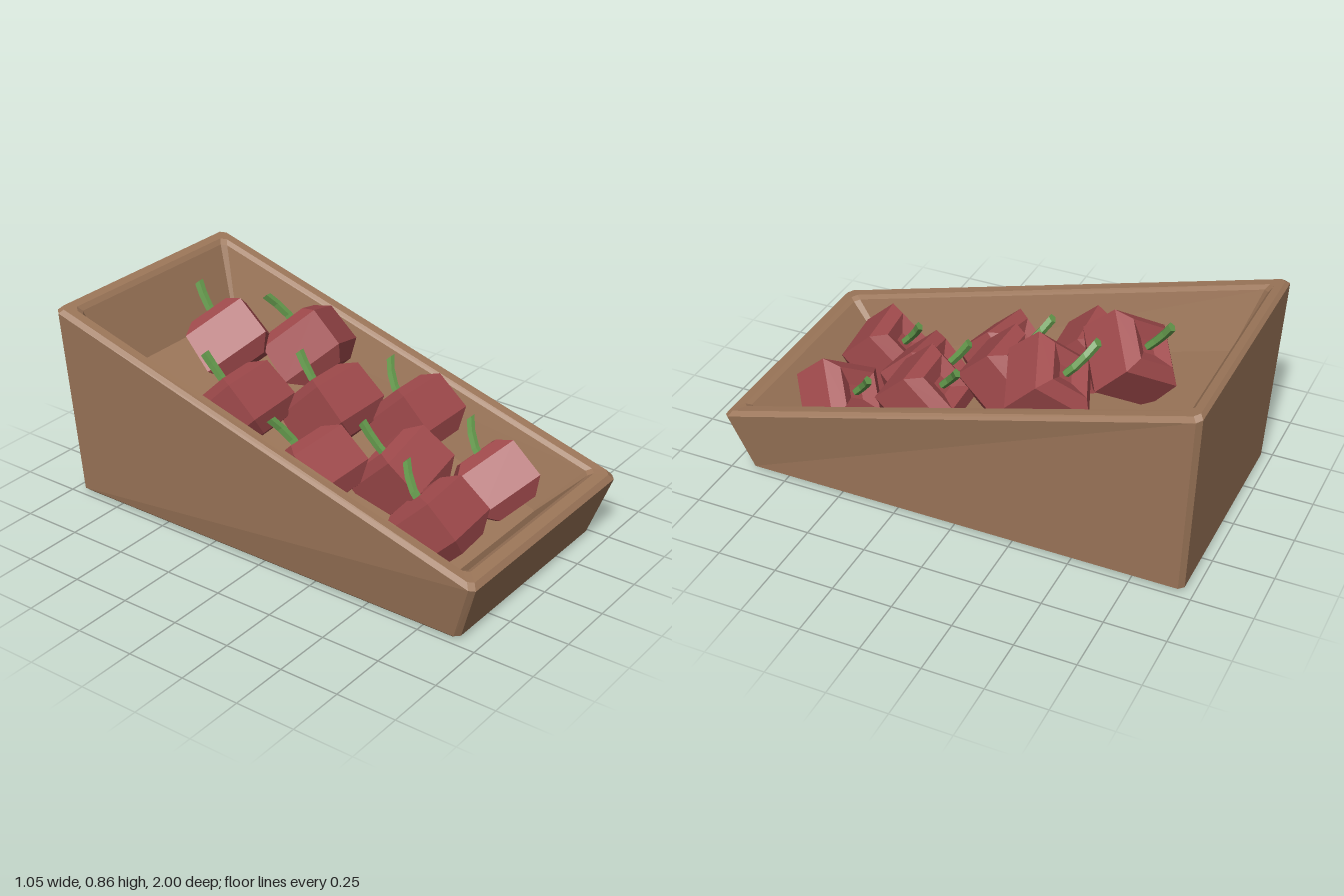
import * as THREE from 'three';

const wood = new THREE.MeshStandardMaterial({ color: 0x9c7659, flatShading: true });
const red = new THREE.MeshStandardMaterial({ color: 0xa04a4c, flatShading: true });
const green = new THREE.MeshStandardMaterial({ color: 0x64994c, flatShading: true });

// Faceted skin over a stack of rings (counter-clockwise from above), closed at both ends
function loft(rings, material, name) {
  const pos = [];
  const tri = (...pts) => pts.forEach((p) => pos.push(...p));
  const n = rings[0].length;
  const centre = (ring) => [0, 1, 2].map((k) => ring.reduce((s, p) => s + p[k], 0) / n);
  const first = rings[0], last = rings[rings.length - 1];
  const c0 = centre(first), c1 = centre(last);
  for (let j = 0; j < n; j++) {
    const k = (j + 1) % n;
    for (let i = 0; i < rings.length - 1; i++) {
      const a = rings[i], b = rings[i + 1];
      tri(a[j], a[k], b[k]);
      tri(a[j], b[k], b[j]);
    }
    tri(c0, first[k], first[j]);
    tri(c1, last[j], last[k]);
  }
  const geo = new THREE.BufferGeometry();
  geo.setAttribute('position', new THREE.Float32BufferAttribute(pos, 3));
  geo.computeVertexNormals();
  const mesh = new THREE.Mesh(geo, material);
  mesh.name = name;
  return mesh;
}

// Regular polygon ring
function polygon(n, r, y, turn = 0, dx = 0, dz = 0) {
  return Array.from({ length: n }, (_, i) => {
    const a = turn + (i / n) * Math.PI * 2;
    return [dx + r * Math.cos(a), y, dz - r * Math.sin(a)];
  });
}

// Rectangle with cut corners, sloping from yFront to yBack
function crateRing(hx, zFront, zBack, yFront, yBack, cut) {
  const corners = [
    [hx, zFront - cut], [hx, zBack + cut], [hx - cut, zBack], [-hx + cut, zBack],
    [-hx, zBack + cut], [-hx, zFront - cut], [-hx + cut, zFront], [hx - cut, zFront],
  ];
  return corners.map(([x, z]) => [x, yFront + ((yBack - yFront) * (zFront - z)) / (zFront - zBack), z]);
}

function makeCrate() {
  return loft([
    crateRing(0.46, 0.9, -0.945, 0, 0, 0.02), // base
    crateRing(0.48, 0.917, -0.962, 0.018, 0.018, 0.02),
    crateRing(0.525, 1.0, -1.0, 0.265, 0.83, 0.02), // outer rim
    crateRing(0.508, 0.983, -0.985, 0.288, 0.845, 0.02),
    crateRing(0.468, 0.94, -0.95, 0.298, 0.835, 0.02), // inner rim
    crateRing(0.452, 0.92, -0.935, 0.288, 0.815, 0.02),
    crateRing(0.385, 0.72, -0.83, 0.08, 0.54, 0.01), // sloping floor
  ], wood, 'crate');
}

// Square-sided fruit: [half width, height] from base to the hollow round the stem
const fruitProfile = [[0.085, -0.14], [0.142, -0.08], [0.134, 0.09], [0.085, 0.13], [0.03, 0.1]];
const TILT = -Math.PI / 4;

function makeFruit([x, y, z, yaw, roll, bend]) {
  const fruit = new THREE.Group();
  fruit.name = 'fruit';
  const body = loft(
    fruitProfile.map(([s, h]) => polygon(4, s * Math.SQRT2, h, Math.PI / 4)), red, 'fruitBody');
  body.rotation.y = THREE.MathUtils.degToRad(yaw);
  // Curved stem leaning sideways by bend
  const stem = loft([0, 0.35, 0.7, 1].map((t) =>
    polygon(5, 0.017 + 0.003 * t, 0.09 + 0.17 * t, 0.3, bend * t * t, 0.02 * t * t)), green, 'stem');
  fruit.add(body, stem);
  fruit.position.set(x, y, z);
  fruit.rotation.set(TILT, 0, roll, 'ZXY');
  return fruit;
}

// x, y, z, yaw in degrees, roll, stem bend
const fruits = [
  [-0.01, 0.65, -0.53, 43, 0, 0.02],
  [0.22, 0.6, -0.29, 28, 0, -0.07],
  [-0.2, 0.48, -0.31, 6, 0.07, -0.01],
  [0.035, 0.46, -0.04, -1, 0, 0.01],
  [-0.25, 0.34, 0.09, -9, 0, -0.06],
  [0.235, 0.41, 0.225, 2, 0, 0.07],
  [-0.015, 0.305, 0.345, 5, 0.25, 0.01],
  [-0.185, 0.255, 0.615, 8, 0.08, 0.06],
  [0.23, 0.26, 0.62, 47, 0, 0.07],
];

export function createModel() {
  const model = new THREE.Group();
  model.name = 'fruitCrate';
  model.add(makeCrate(), ...fruits.map(makeFruit));
  return model;
}
